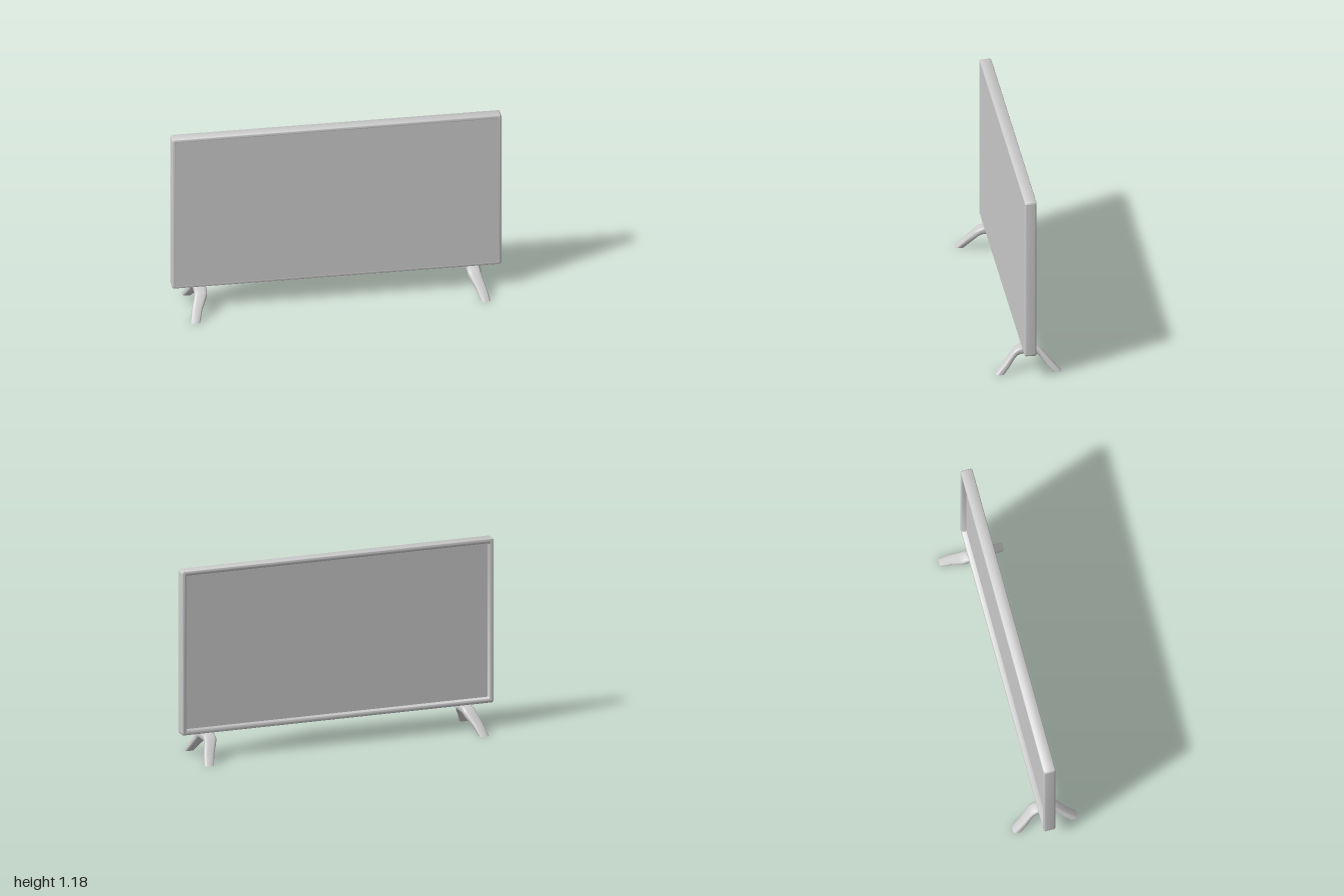
import * as THREE from 'three';
import { toCreasedNormals } from 'three/addons/utils/BufferGeometryUtils.js';

const material = new THREE.MeshStandardMaterial({ color: 0xcccccc });
const W = 2, H = 1.03, D = 0.074, BOTTOM = 0.155, BEVEL = 0.012;

// Rounded rectangle, inset from the cabinet outline
function outline(Type, inset, r) {
  const x = W / 2 - inset, y = H / 2 - inset;
  const s = new Type();
  s.moveTo(-x + r, -y);
  s.lineTo(x - r, -y).absarc(x - r, -y + r, r, -Math.PI / 2, 0);
  s.lineTo(x, y - r).absarc(x - r, y - r, r, 0, Math.PI / 2);
  s.lineTo(-x + r, y).absarc(-x + r, y - r, r, Math.PI / 2, Math.PI);
  s.lineTo(-x, -y + r).absarc(-x + r, -y + r, r, Math.PI, Math.PI * 1.5);
  return s;
}

function part(name, geometry) {
  const mesh = new THREE.Mesh(toCreasedNormals(geometry, 0.7), material);
  mesh.name = name;
  return mesh;
}

// Half of a leg, foot to crown: [outer z, outer y, inner z, inner y, centre x, width]
const HALF_LEG = [
  [0.2, 0, 0.145, 0, 0.88, 0.058],
  [0.143, 0.064, 0.108, 0.043, 0.861, 0.066],
  [0.092, 0.122, 0.077, 0.083, 0.837, 0.075],
  [0.074, 0.139, 0.063, 0.097, 0.831, 0.078],
  [0.055, 0.15, 0.05, 0.104, 0.829, 0.078],
  [0.032, 0.157, 0.032, 0.106, 0.828, 0.078],
];

// Arched leg lofted through soft rectangular sections
function legGeometry(side) {
  const back = HALF_LEG.map(([a, b, c, d, x, w]) => [-a, b, -c, d, x, w]).reverse();
  const stations = [...HALF_LEG, ...back];
  const N = 24, positions = [], index = [];
  const soft = (v) => Math.sign(v) * Math.pow(Math.abs(v), 0.6);
  for (const [oz, oy, iz, iy, x, w] of stations) {
    for (let j = 0; j < N; j++) {
      const a = (j / N) * Math.PI * 2;
      const u = soft(Math.cos(a)) / 2, v = soft(Math.sin(a)) / 2;
      positions.push(side * x + u * w, (oy + iy) / 2 + v * (oy - iy), (oz + iz) / 2 + v * (oz - iz));
    }
  }
  const last = (stations.length - 1) * N;
  for (let i = 0; i < last; i += N) {
    for (let j = 0; j < N; j++) {
      const k = (j + 1) % N;
      index.push(i + j, i + N + j, i + k, i + k, i + N + j, i + N + k);
    }
  }
  // Flat soles
  for (let j = 1; j < N - 1; j++) {
    index.push(0, j, j + 1, last, last + j + 1, last + j);
  }
  const g = new THREE.BufferGeometry();
  g.setAttribute('position', new THREE.Float32BufferAttribute(positions, 3));
  g.setIndex(index);
  return g;
}

export function createModel() {
  const model = new THREE.Group();
  model.name = 'television';

  // Surrounding frame with rounded edges
  const frameShape = outline(THREE.Shape, BEVEL, 0.004);
  frameShape.holes.push(outline(THREE.Path, 0.02, 0.018));
  const frame = part('frame', new THREE.ExtrudeGeometry(frameShape, {
    depth: D - 2 * BEVEL, bevelEnabled: true, bevelSize: BEVEL, bevelThickness: BEVEL,
    bevelSegments: 4, curveSegments: 5,
  }));
  frame.position.set(0, BOTTOM + H / 2, -D / 2 + BEVEL);

  // Screen flush with the front, leaving the back recessed
  const depth = 0.043;
  const screen = part('screen', new THREE.ExtrudeGeometry(outline(THREE.Shape, 0.02, 0.018), {
    depth, bevelEnabled: false, curveSegments: 5,
  }));
  screen.position.set(0, BOTTOM + H / 2, D / 2 - depth);

  model.add(frame, screen);
  model.add(part('leftLeg', legGeometry(1)), part('rightLeg', legGeometry(-1)));
  return model;
}
